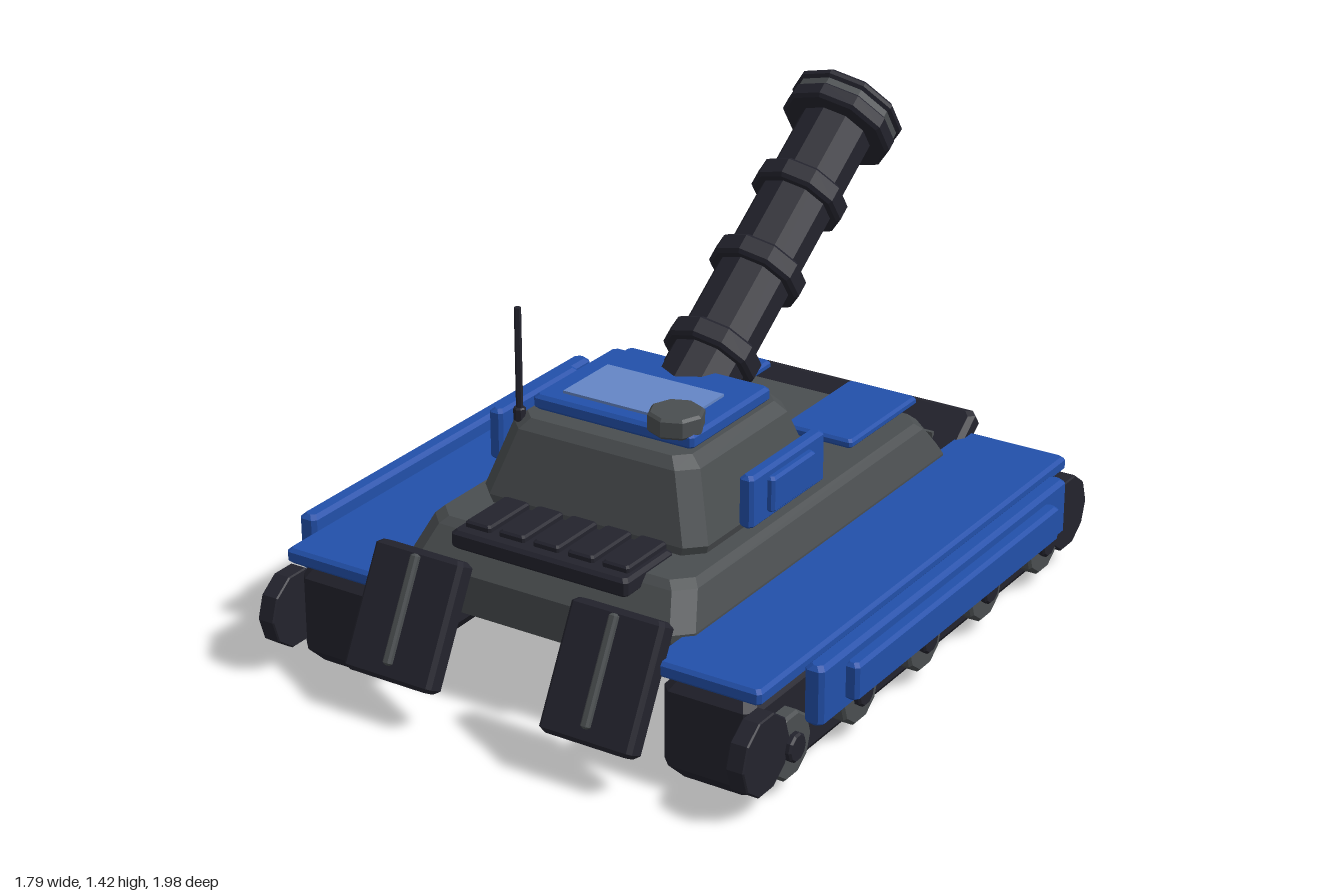
import * as THREE from 'three';

const mat = (name, color) => {
  const m = new THREE.MeshStandardMaterial({ color });
  m.name = name;
  return m;
};

// Stack of chamfered rectangles [y, halfX, halfZ, chamfer] joined into a faceted solid
function loft(sections) {
  const rings = sections.map(([y, x, z, c]) => [
    [x, z - c], [x, c - z], [x - c, -z], [c - x, -z],
    [-x, c - z], [-x, z - c], [c - x, z], [x - c, z],
  ].map(([px, pz]) => [px, y, pz]));
  const pos = [];
  const tri = (...p) => p.forEach((v) => pos.push(...v));
  for (let s = 0; s < rings.length - 1; s++) {
    const lo = rings[s], hi = rings[s + 1];
    for (let i = 0; i < 8; i++) {
      const j = (i + 1) % 8;
      tri(lo[i], lo[j], hi[j]);
      tri(lo[i], hi[j], hi[i]);
    }
  }
  const bottom = rings[0], top = rings[rings.length - 1];
  for (let i = 1; i < 7; i++) {
    tri(top[0], top[i], top[i + 1]);
    tri(bottom[0], bottom[i + 1], bottom[i]);
  }
  const g = new THREE.BufferGeometry();
  g.setAttribute('position', new THREE.Float32BufferAttribute(pos, 3));
  g.computeVertexNormals();
  return g;
}

// Box with chamfered edges
function bevelBox(w, h, d, c = 0.01) {
  const x = w / 2, y = h / 2, z = d / 2;
  return loft([[-y, x - c, z - c, c], [c - y, x, z, c], [y - c, x, z, c], [y, x - c, z - c, c]]);
}

function flat(geometry) {
  const g = geometry.toNonIndexed();
  g.computeVertexNormals();
  return g;
}

// Faceted disc along y with a small edge chamfer
function drum(r, h, sides = 10, c = 0.01) {
  const p = [[0, -h / 2], [r - c, -h / 2], [r, c - h / 2], [r, h / 2 - c], [r - c, h / 2], [0, h / 2]];
  return flat(new THREE.LatheGeometry(p.map(([x, y]) => new THREE.Vector2(x, y)), sides));
}

export function createModel() {
  const dark = mat('dark steel', 0x23232d);
  const grey = mat('hull grey', 0x4a4e50);
  const blue = mat('blue armour', 0x2250aa);
  const glass = mat('pale blue panel', 0x6486c6);

  const model = new THREE.Group();
  model.name = 'mortarTank';
  const add = (name, geometry, material, x = 0, y = 0, z = 0, parent = model) => {
    const m = new THREE.Mesh(geometry, material);
    m.name = name;
    m.position.set(x, y, z);
    parent.add(m);
    return m;
  };

  // Hull and turret bodies
  add('hull', loft([
    [0.225, 0.465, 0.70, 0.03], [0.36, 0.465, 0.725, 0.05],
    [0.455, 0.43, 0.66, 0.05], [0.475, 0.41, 0.64, 0.05],
  ]), grey);
  add('turret', loft([
    [0.465, 0.355, 0.325, 0.05], [0.50, 0.367, 0.332, 0.05],
    [0.69, 0.305, 0.275, 0.05], [0.72, 0.27, 0.25, 0.04],
  ]), grey, 0, 0, 0.177);

  // Turret roof
  add('roofPlate', bevelBox(0.525, 0.045, 0.405), blue, 0, 0.742, 0.172);
  add('roofPanel', new THREE.BoxGeometry(0.385, 0.008, 0.22), glass, 0, 0.769, 0.215);
  add('hatch', drum(0.08, 0.06, 8, 0.008), grey, 0.185, 0.78, 0.335);
  add('antenna', flat(new THREE.CylinderGeometry(0.01, 0.01, 0.33, 6)), dark, -0.28, 0.865, 0.41);
  add('antennaBase', drum(0.018, 0.04, 8, 0.004), dark, -0.28, 0.715, 0.41);

  // Barrel, raised towards the back
  const mantlet = add('mantlet', flat(new THREE.SphereGeometry(0.17, 10, 6)), dark, 0, 0.63, -0.04);
  mantlet.scale.set(1, 0.68, 0.7);
  const gun = new THREE.Group();
  gun.name = 'barrel';
  gun.position.set(0, 0.667, 0);
  gun.rotation.x = THREE.MathUtils.degToRad(-55);
  model.add(gun);
  add('barrelTube', drum(0.114, 1.1), dark, 0, 0.45, 0, gun);
  for (const t of [0.17, 0.465, 0.745]) add('barrelRing', drum(0.143, 0.068), dark, 0, t, 0, gun);
  add('muzzleCollar', drum(0.172, 0.055), dark, 0, 1.012, 0, gun);
  add('muzzleBand', drum(0.166, 0.05, 10, 0.004), grey, 0, 1.045, 0, gun);
  add('muzzleRim', drum(0.175, 0.032), dark, 0, 1.071, 0, gun);
  const bore = new THREE.CircleGeometry(0.092, 20);
  bore.rotateX(-Math.PI / 2);
  add('bore', bore, dark, 0, 1.12, 0, gun);

  // Slatted engine grille on the front deck
  add('grille', bevelBox(0.575, 0.055, 0.23), dark, 0, 0.462, 0.62);
  for (let i = 0; i < 5; i++) {
    add('grilleSlat', bevelBox(0.085, 0.025, 0.19, 0.006), dark, (i - 2) * 0.112, 0.495, 0.60);
  }

  // Slanted rear plate
  const rear = add('rearPlate', bevelBox(0.92, 0.07, 0.2, 0.015), dark, 0, 0.335, -0.825);
  rear.rotation.x = 0.64;

  const wheel = (name, r, w, material, x, y, z, c) => {
    add(name, drum(r, w, 10, c), material, x, y, z).rotation.z = Math.PI / 2;
  };

  for (const s of [1, -1]) {
    // Running gear
    add('track', loft([
      [0.005, 0.11, 0.80, 0.02], [0.05, 0.145, 0.84, 0.03],
      [0.27, 0.145, 0.84, 0.03], [0.305, 0.115, 0.81, 0.02],
    ]), dark, s * 0.6, 0, 0);
    for (const z of [0.845, -0.86]) wheel('endWheel', 0.115, 0.055, dark, s * 0.763, 0.175, z, 0.004);
    for (let i = -2; i <= 2; i++) {
      wheel('roadWheel', 0.098, 0.06, grey, s * 0.758, 0.14, i * 0.357, 0.008);
      wheel('wheelHub', 0.042, 0.06, dark, s * 0.777, 0.14, i * 0.357, 0.006);
    }

    // Fender and layered side skirt
    add('fender', bevelBox(0.342, 0.046, 1.72), blue, s * 0.6, 0.331, -0.01);
    add('skirt', bevelBox(0.058, 0.175, 1.385, 0.012), blue, s * 0.829, 0.283, -0.007);
    add('skirtPlate', bevelBox(0.05, 0.11, 1.15, 0.01), blue, s * 0.87, 0.283, -0.01);

    // Turret cheek armour
    add('cheekArmour', bevelBox(0.045, 0.155, 0.385), blue, s * 0.412, 0.593, 0.155);
    add('cheekPlate', bevelBox(0.04, 0.105, 0.225, 0.008), blue, s * 0.435, 0.593, 0.157);

    // Rear deck panels and rear handles
    add('deckPanel', bevelBox(0.23, 0.028, 0.385, 0.008), blue, s * 0.25, 0.502, -0.497);
    add('rearHandle', new THREE.BoxGeometry(0.05, 0.02, 0.012), grey, s * 0.345, 0.355, -0.785);

    // Tilted front flaps with a centre rib
    const flap = new THREE.Group();
    flap.name = 'frontFlap';
    flap.position.set(s * 0.322, 0.283, 0.885);
    flap.rotation.x = -0.485;
    model.add(flap);
    add('flapPlate', bevelBox(0.292, 0.365, 0.07, 0.012), dark, 0, 0, 0, flap);
    add('flapRib', bevelBox(0.026, 0.31, 0.025, 0.006), grey, 0, 0.015, 0.04, flap);
  }
  return model;
}
